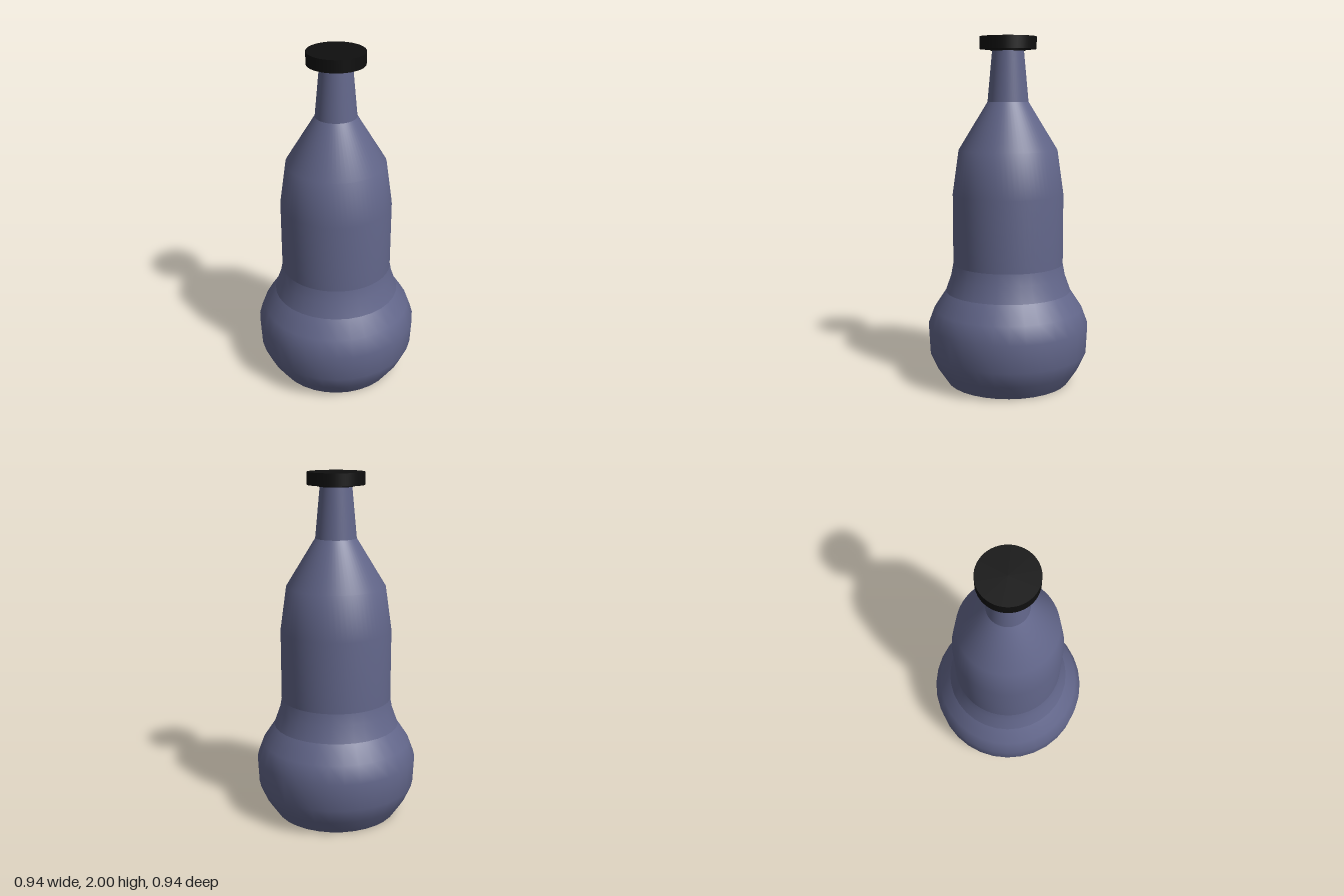
import * as THREE from 'three';

export function createModel() {
  const group = new THREE.Group();
  const glass = new THREE.MeshStandardMaterial({ color: 0x62668a });
  glass.name = 'slate blue glass';
  const black = new THREE.MeshStandardMaterial({ color: 0x0f0f0f });
  black.name = 'black cap';

  // Revolves an [radius, height] profile; separate sections keep a crisp seam
  const turned = (name, profile, material, segments = 64) => {
    const points = profile.map(([r, y]) => new THREE.Vector2(r, y));
    const mesh = new THREE.Mesh(new THREE.LatheGeometry(points, segments), material);
    mesh.name = name;
    group.add(mesh);
  };

  // Underside: dimple, recessed floor, recess wall and standing ring
  turned('baseDimple', [[0, 0.06], [0.04, 0.056], [0.075, 0.045]], glass, 32);
  turned('baseFloor', [[0.075, 0.045], [0.25, 0.045]], glass);
  turned('baseRecessWall', [[0.25, 0.045], [0.25, 0]], glass);
  turned('baseRing', [[0.25, 0], [0.36, 0]], glass, 32);

  // Bulbous foot and the flare into the body
  turned('bulb', [
    [0.36, 0], [0.42, 0.088], [0.461, 0.18], [0.469, 0.34], [0.433, 0.437], [0.365, 0.54],
  ], glass, 32);
  turned('flare', [[0.365, 0.54], [0.333, 0.63], [0.32, 0.7]], glass, 32);

  // Body, shoulder and neck
  turned('body', [
    [0.32, 0.7], [0.32, 1.108], [0.284, 1.362], [0.117, 1.635],
  ], glass);
  turned('neck', [[0.117, 1.635], [0.09, 1.925]], glass);

  // Cap with a small collar beneath it
  turned('collar', [[0.085, 1.92], [0.098, 1.92], [0.098, 1.935]], black);
  const cap = new THREE.Mesh(new THREE.CylinderGeometry(0.162, 0.162, 0.07, 64), black);
  cap.name = 'cap';
  cap.position.y = 1.965;
  group.add(cap);

  return group;
}
